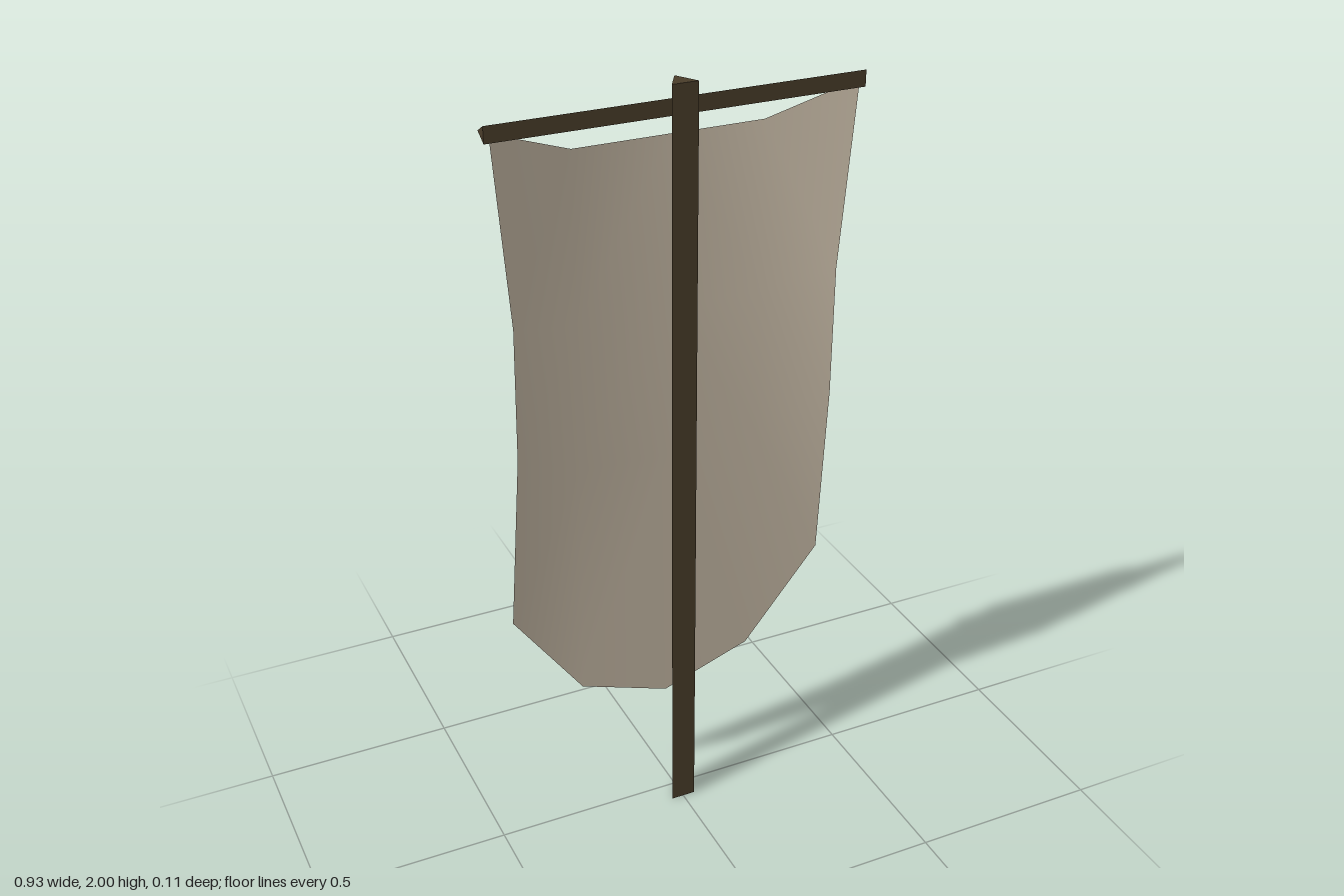
import * as THREE from 'three';

const wood = new THREE.MeshStandardMaterial({ color: 0x4a3d2a, flatShading: true });
const linen = new THREE.MeshStandardMaterial({ color: 0xcabda9, side: THREE.DoubleSide });

// Three-sided beam: flat face to the front, ridge to the back
function beam(name, radius, length) {
  const geometry = new THREE.CylinderGeometry(radius, radius, length, 3, 1, false, Math.PI);
  const mesh = new THREE.Mesh(geometry, wood);
  mesh.name = name;
  return mesh;
}

// Hanging cloth: each row gives its outer, inner and middle points; the rows are mirrored
function cloth() {
  const rows = [
    [[0.45, 1.945, 0.04], [0.24, 1.86, -0.023], [0, 1.86, -0.023]],
    [[0.415, 1.48, 0.035], [0.24, 1.43, -0.022], [0, 1.43, -0.022]],
    [[0.418, 1.14, 0.028], [0.24, 1.04, -0.031], [0, 1.03, -0.031]],
    [[0.432, 0.645, -0.03], [0.24, 0.37, -0.057], [0, 0.285, -0.057]],
  ];
  const positions = [];
  const index = [];
  const columns = 5;
  rows.forEach(([outer, inner, middle], r) => {
    const mirror = ([x, y, z]) => [-x, y, z];
    positions.push(...mirror(outer), ...mirror(inner), ...middle, ...inner, ...outer);
    if (r === 0) return;
    for (let c = 0; c < columns - 1; c++) {
      const a = (r - 1) * columns + c, b = a + 1;
      const d = a + columns, e = d + 1;
      // Diagonals run symmetrically about the middle
      if (c < 2) index.push(a, d, b, b, d, e);
      else index.push(a, d, e, a, e, b);
    }
  });
  const geometry = new THREE.BufferGeometry();
  geometry.setAttribute('position', new THREE.Float32BufferAttribute(positions, 3));
  geometry.setIndex(index);
  geometry.computeVertexNormals();
  const mesh = new THREE.Mesh(geometry, linen);
  mesh.name = 'cloth';
  return mesh;
}

export function createModel() {
  const group = new THREE.Group();
  group.name = 'banner';

  // Upright pole
  const pole = beam('pole', 0.038, 2);
  pole.position.set(0, 1, 0.038);

  // Crossbar near the top of the pole
  const crossbar = beam('crossbar', 0.0231, 0.926);
  crossbar.rotation.z = Math.PI / 2;
  crossbar.position.set(0, 1.945, 0.033);

  group.add(pole, crossbar, cloth());
  return group;
}
